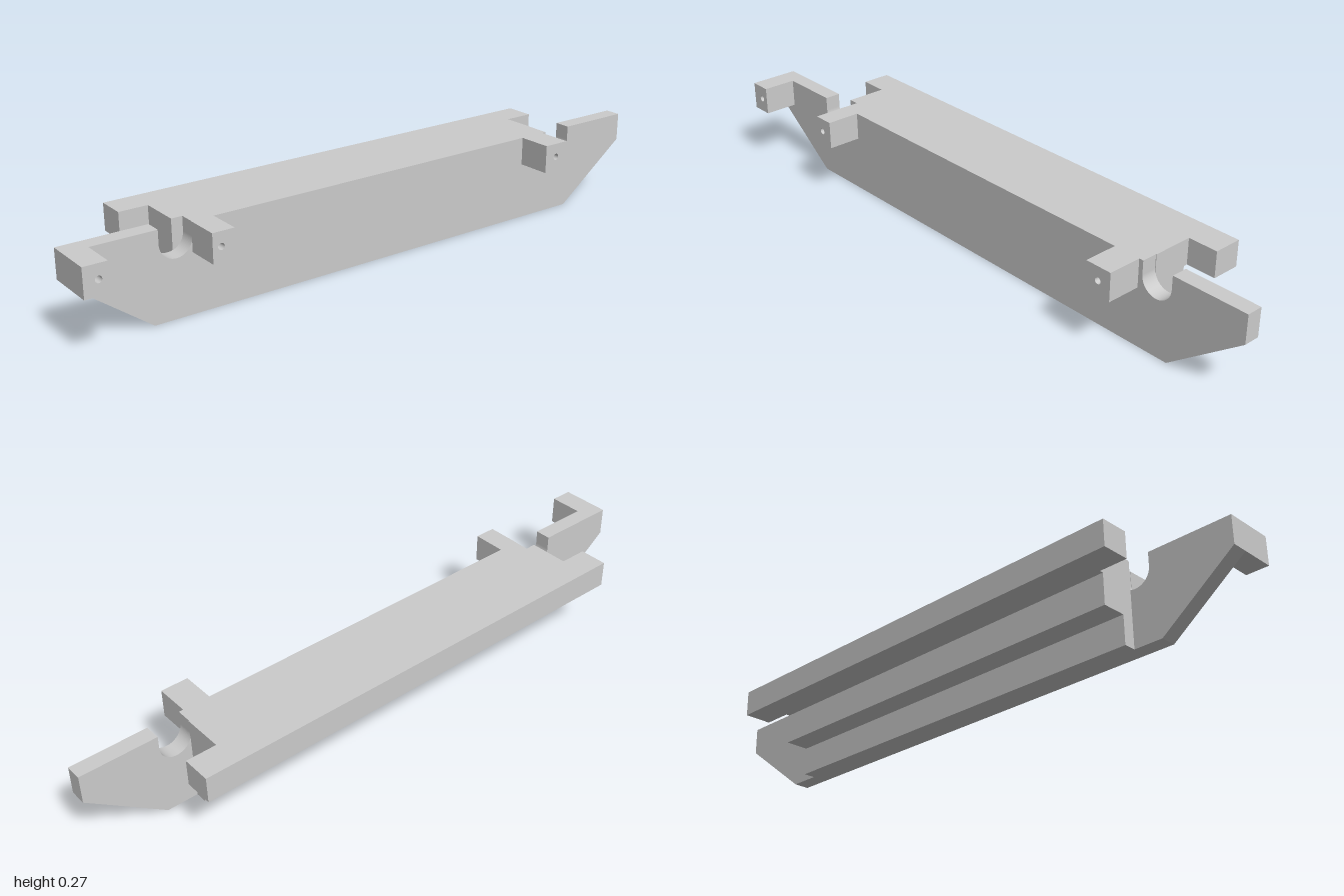
import * as THREE from 'three';

const TOP = 0.268;
const material = new THREE.MeshStandardMaterial({ color: 0xcccccc });

function extrude(shape, depth) {
  return new THREE.ExtrudeGeometry(shape, { depth, bevelEnabled: false, curveSegments: 24 });
}

function polygon(points) {
  return new THREE.Shape(points.map(([x, y]) => new THREE.Vector2(x, y)));
}

export function createModel() {
  const group = new THREE.Group();
  const add = (name, geometry, x = 0, y = 0, z = 0) => {
    const mesh = new THREE.Mesh(geometry, material);
    mesh.name = name;
    mesh.position.set(x, y, z);
    group.add(mesh);
  };

  // Front plate with slanted ends and two U-shaped notches in its top edge
  const notchRadius = 0.05, notchY = 0.225;
  const plate = new THREE.Shape();
  plate.moveTo(-1, TOP);
  plate.lineTo(-1, 0.18);
  plate.lineTo(-0.76, 0);
  plate.lineTo(0.76, 0);
  plate.lineTo(1, 0.18);
  plate.lineTo(1, TOP);
  for (const x of [0.711, -0.685]) {
    plate.lineTo(x + notchRadius, TOP);
    plate.lineTo(x + notchRadius, notchY);
    plate.absarc(x, notchY, notchRadius, 0, -Math.PI, true);
    plate.lineTo(x - notchRadius, TOP);
  }
  plate.closePath();
  add('frontPlate', extrude(plate, 0.05), 0, 0, 0.03);

  // Stepped body behind the plate, its side profile swept along x (shape x is -z)
  const body = polygon([
    [-0.031, 0], [0.008, 0], [0.008, 0.09], [0.085, 0.09],
    [0.085, 0.186], [0.1, 0.186], [0.1, TOP], [-0.031, TOP],
  ]);
  add('steppedBody', extrude(body, 1.332).rotateY(Math.PI / 2), -0.669, 0, 0);

  // Longer rail along the back of the top
  add('backRail', new THREE.BoxGeometry(1.516, TOP - 0.186, 0.09), 0, (TOP + 0.186) / 2, -0.142);

  // Lugs projecting forward, each with a small screw hole
  const lugs = [
    ['outerRightLug', -1, -0.93, -0.958],
    ['innerRightLug', -0.636, -0.568, -0.61],
    ['innerLeftLug', 0.561, 0.647, 0.604],
  ];
  for (const [name, x0, x1, holeX] of lugs) {
    const lug = polygon([[x0, 0.18], [x1, 0.18], [x1, TOP], [x0, TOP]]);
    lug.holes.push(new THREE.Path().absarc(holeX, 0.225, 0.01, 0, Math.PI * 2, true));
    add(name, extrude(lug, 0.107), 0, 0, 0.08);
  }

  return group;
}
